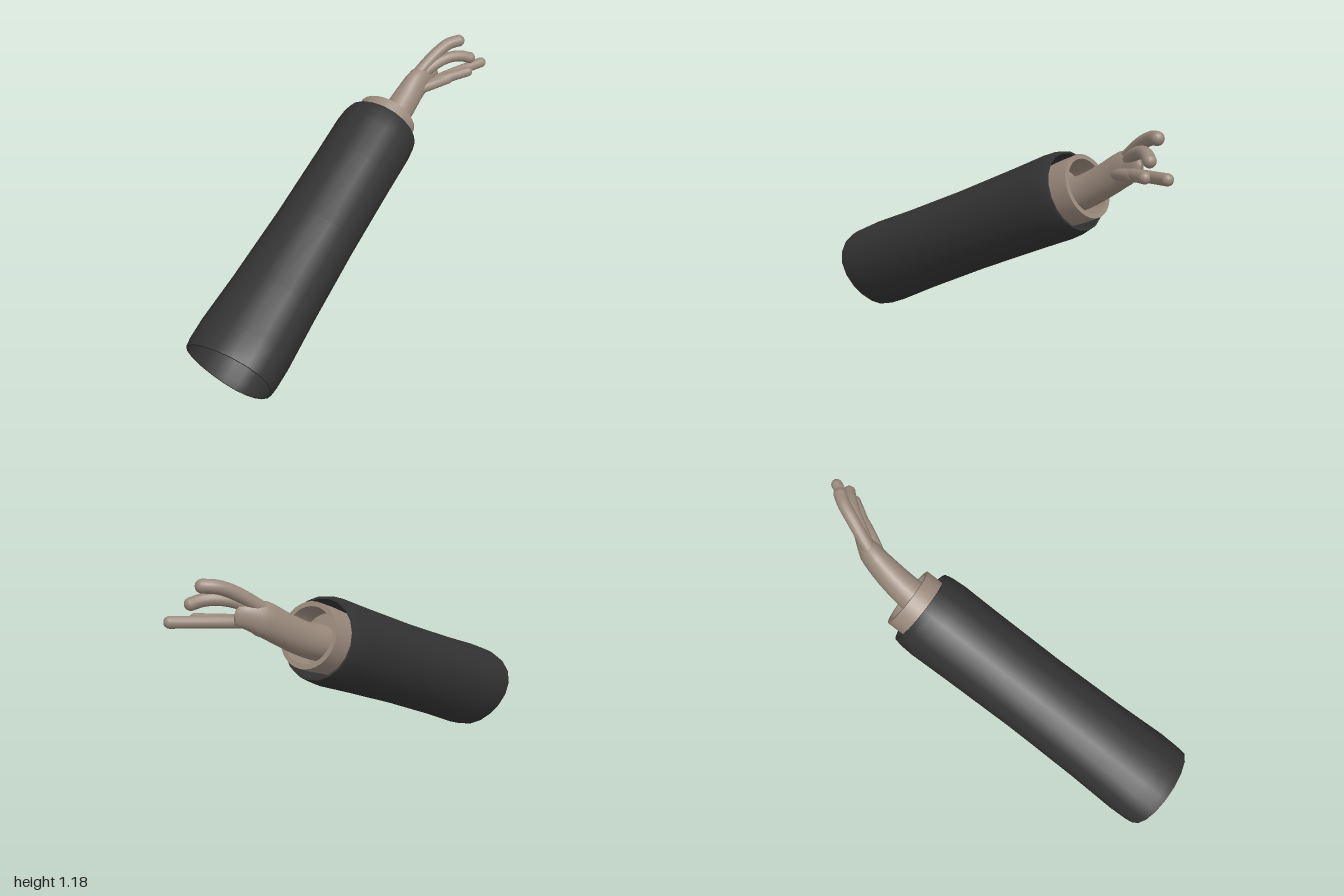
import * as THREE from 'three';
import { mergeGeometries } from 'three/addons/utils/BufferGeometryUtils.js';

const V = (x, y, z) => new THREE.Vector3(x, y, z);
const UP = V(0, 1, 0);

// Skin a list of cross-sections { p: centre, t: direction, a: half width, b: half height, egg }
function loft(rows, sides) {
  const pos = [], idx = [];
  rows.forEach(({ p, t, a, b, egg = 0 }, i) => {
    const u = t.clone().cross(UP).normalize();
    const v = u.clone().cross(t).normalize();
    for (let k = 0; k < sides; k++) {
      const th = (k / sides) * Math.PI * 2;
      const s = Math.sin(th);
      const q = p.clone()
        .addScaledVector(u, a * Math.cos(th) * (1 + egg * s))
        .addScaledVector(v, b * s);
      pos.push(q.x, q.y, q.z);
      if (i === rows.length - 1) continue;
      const m = i * sides + k, n = i * sides + (k + 1) % sides;
      idx.push(m, m + sides, n, n, m + sides, n + sides);
    }
  });
  const g = new THREE.BufferGeometry();
  g.setAttribute('position', new THREE.Float32BufferAttribute(pos, 3));
  g.setIndex(idx);
  g.computeVertexNormals();
  return g;
}

// Shared axis of the sleeve and forearm
const START = V(-0.31, 0.2, 0.9);
const AXIS = V(0.06, 0.83, -0.42).sub(START);
const LEN = AXIS.length();
AXIS.normalize();

// Each strip is a list of [distance along axis, radius]; strips meet at sharp edges
function alongAxis(strips, sides, egg) {
  return mergeGeometries(strips.map(strip => loft(strip.map(([s, r]) => ({
    p: START.clone().addScaledVector(AXIS, s), t: AXIS, a: r, b: r,
    egg: egg * Math.max(0, 1 - s / LEN),
  })), sides)));
}

export function createModel() {
  const group = new THREE.Group();
  const cloth = new THREE.MeshStandardMaterial({ color: 0x333333 });
  cloth.name = 'dark cloth';
  const skin = new THREE.MeshStandardMaterial({ color: 0x9a897c });
  skin.name = 'beige skin';
  const add = (name, geometry, material, parent = group) => {
    const mesh = new THREE.Mesh(geometry, material);
    mesh.name = name;
    parent.add(mesh);
  };

  // Sleeve: an open tube with a wall, slightly drawn in at both ends
  const outer = [[0, 0.219], [0.04, 0.224], [0.14, 0.226], [0.4, 0.215],
    [0.8, 0.206], [1.2, 0.206], [1.4, 0.208], [1.47, 0.203], [LEN, 0.194]];
  const inner = outer.map(([s, r]) => [s, r - 0.01]).reverse();
  add('sleeve', alongAxis([
    [[0, 0.209], [0, 0.219]],
    outer,
    [[LEN, 0.194], [LEN, 0.184]],
    inner,
  ], 20, 0.2), cloth);

  // Forearm: round at the elbow, with a hollow cuff at the wrist
  const R = 0.147, elbow = 0.335, cuff = 1.585;
  const dome = [];
  for (let i = 0; i <= 8; i++) {
    const a = (i / 8) * Math.PI / 2;
    dome.push([elbow - R * Math.cos(a), R * Math.sin(a)]);
  }
  add('forearm', alongAxis([
    [...dome, [1.4, 0.15], [1.5, 0.155], [cuff, 0.155]],
    [[cuff, 0.155], [cuff, 0.132]],
    [[cuff, 0.132], [1.45, 0.128]],
    [[1.45, 0.128], [1.45, 0]],
  ], 32, 0), skin);

  // Wrist and palm: oval sections along a bend
  const hand = new THREE.Group();
  hand.name = 'hand';
  group.add(hand);
  const bend = new THREE.CatmullRomCurve3([V(0.065, 0.78, -0.34), V(0.105, 0.84, -0.48),
    V(0.15, 0.915, -0.6), V(0.2, 0.985, -0.7), V(0.27, 1.015, -0.785)]);
  const widths = [0.09, 0.078, 0.068, 0.055, 0.02];
  const heights = [0.088, 0.08, 0.077, 0.078, 0.045];
  const at = (list, f) => {
    const i = Math.min(3, Math.floor(f * 4));
    return THREE.MathUtils.lerp(list[i], list[i + 1], f * 4 - i);
  };
  const rows = [];
  for (let i = 0; i <= 16; i++) {
    const f = i / 16;
    rows.push({ p: bend.getPoint(f), t: bend.getTangent(f), a: at(widths, f), b: at(heights, f) });
  }
  const last = rows[16];
  rows.unshift({ ...rows[0], a: 0, b: 0 });
  rows.push({ ...last, p: last.p.clone().addScaledVector(last.t, 0.012), a: 0, b: 0 });
  add('palm', loft(rows, 24), skin, hand);

  // Fingers: curved tubes with round tips
  const finger = (name, r, ...points) => {
    const path = new THREE.CatmullRomCurve3(points);
    const tip = new THREE.SphereGeometry(r, 16, 12);
    tip.translate(...points[points.length - 1].toArray());
    add(name, mergeGeometries([new THREE.TubeGeometry(path, 16, r, 16), tip]), skin, hand);
  };
  finger('upperFinger', 0.031, V(0.18, 1.01, -0.68), V(0.22, 1.06, -0.73),
    V(0.28, 1.12, -0.8), V(0.325, 1.148, -0.85), V(0.37, 1.155, -0.885));
  finger('secondFinger', 0.029, V(0.2, 1.0, -0.7), V(0.26, 1.055, -0.75),
    V(0.33, 1.085, -0.81), V(0.39, 1.085, -0.85), V(0.435, 1.07, -0.875));
  finger('longFinger', 0.027, V(0.23, 0.965, -0.7), V(0.33, 0.985, -0.81),
    V(0.485, 1.01, -0.965));
  finger('middleFinger', 0.027, V(0.22, 0.96, -0.68), V(0.32, 0.982, -0.765),
    V(0.43, 0.998, -0.855));
  finger('thumb', 0.027, V(0.2, 0.955, -0.65), V(0.27, 0.968, -0.71),
    V(0.338, 0.98, -0.775));

  return group;
}
